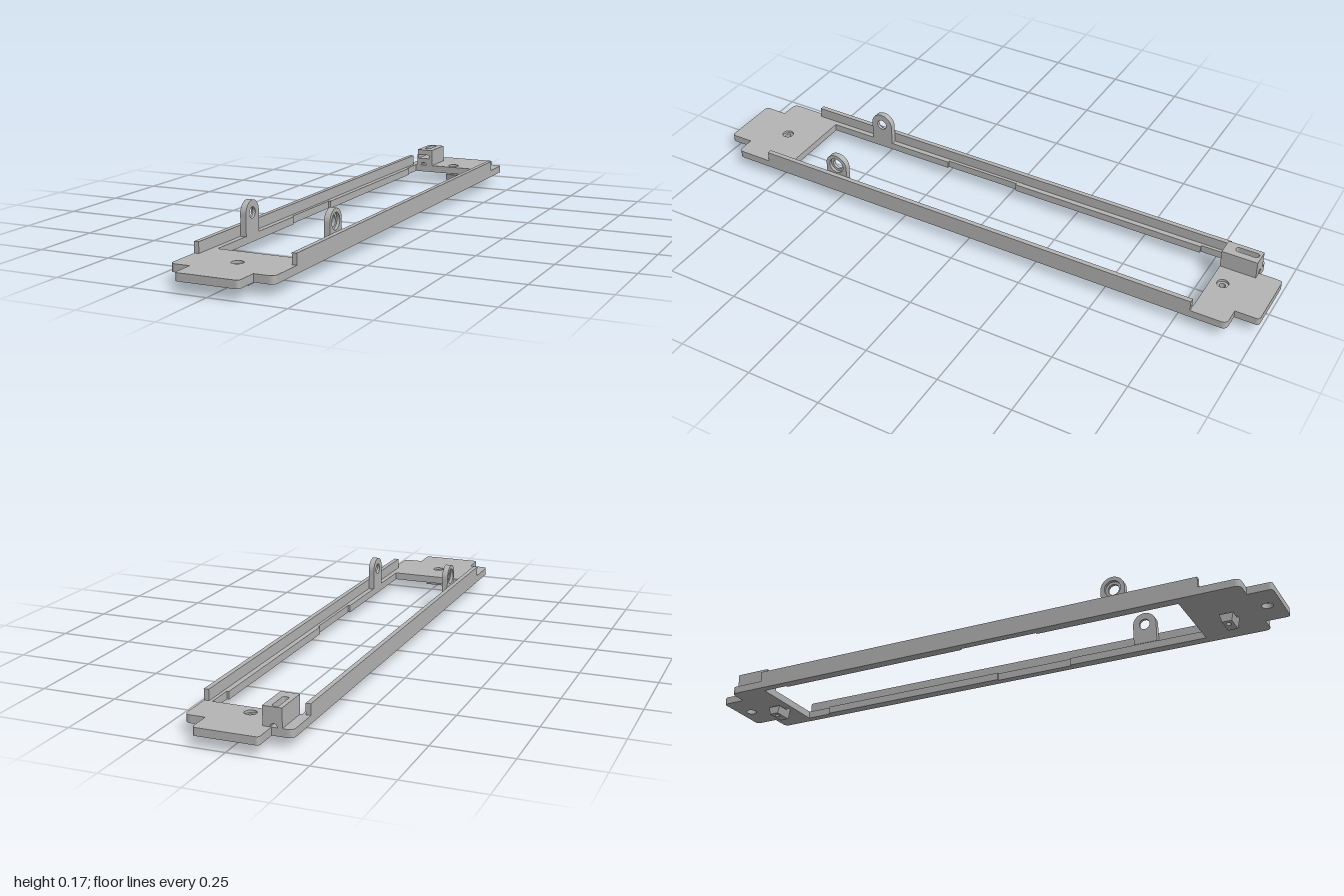
import * as THREE from 'three';

const grey = new THREE.MeshStandardMaterial({ color: 0xb4b4b4 });
grey.name = 'plain grey';

// Polygon from [x, y] corners; an optional third value rounds the corner
function outline(pts, Type = THREE.Shape) {
  const s = new Type();
  const n = pts.length;
  pts.forEach((p, i) => {
    const r = p[2] || 0;
    const v = new THREE.Vector2(p[0], p[1]);
    const toward = (q) => new THREE.Vector2(q[0], q[1]).sub(v).setLength(r).add(v);
    const a = r ? toward(pts[(i + n - 1) % n]) : v;
    const b = r ? toward(pts[(i + 1) % n]) : v;
    if (i === 0) s.moveTo(a.x, a.y); else s.lineTo(a.x, a.y);
    if (r) s.quadraticCurveTo(v.x, v.y, b.x, b.y);
  });
  s.closePath();
  return s;
}

const rect = (x0, y0, x1, y1, Type) => outline([[x0, y0], [x1, y0], [x1, y1], [x0, y1]], Type);
const circle = (x, y, r) => new THREE.Path().absarc(x, y, r, 0, Math.PI * 2, true);
const extrude = (shape, depth) =>
  new THREE.ExtrudeGeometry(shape, { depth, bevelEnabled: false, curveSegments: 16 });

// Horizontal slab: shape drawn in (x, -z), raised from y0 to y1
const slab = (shape, y0, y1) => extrude(shape, y1 - y0).rotateX(-Math.PI / 2).translate(0, y0, 0);
// Upright plate: shape drawn in (-z, y), spanning x0 to x1
const sidePlate = (shape, x0, x1) => extrude(shape, x1 - x0).rotateY(Math.PI / 2).translate(x0, 0, 0);

export function createModel() {
  const model = new THREE.Group();
  model.name = 'mountingFrame';
  const add = (name, geometry, parent = model) => {
    const mesh = new THREE.Mesh(geometry, grey);
    mesh.name = name;
    parent.add(mesh);
    return mesh;
  };
  const box = (name, x0, x1, y0, y1, z0, z1, parent) =>
    add(name, new THREE.BoxGeometry(x1 - x0, y1 - y0, z1 - z0)
      .translate((x0 + x1) / 2, (y0 + y1) / 2, (z0 + z1) / 2), parent);

  // Base frame with stepped window, in two layers for the counterbored and blind holes
  const frameShape = () => {
    const s = outline([
      [-0.102, -1, 0.012], [0.102, -1, 0.012], [0.102, -0.92], [0.168, -0.92, 0.02],
      [0.168, 0.92, 0.02], [0.102, 0.92], [0.102, 1, 0.012], [-0.102, 1, 0.012],
      [-0.102, 0.92], [-0.168, 0.92, 0.02], [-0.168, -0.92, 0.02], [-0.102, -0.92]]);
    const edge = [[0.134, -0.715], [0.134, -0.24], [0.141, -0.24], [0.141, 0.03],
      [0.134, 0.03], [0.134, 0.71], [0.141, 0.71], [0.141, 0.80]];
    const mirrored = edge.map(([x, y]) => [-x, y]).reverse();
    s.holes.push(outline([...edge, ...mirrored], THREE.Path));
    return s;
  };
  const lower = frameShape();
  const upper = frameShape();
  for (const v of [0.84, -0.83]) {
    lower.holes.push(circle(0, v, 0.01));
    upper.holes.push(circle(0, v, 0.019));
    lower.holes.push(circle(0, Math.sign(v) * 0.955, 0.018));
  }
  add('baseFrameLower', slab(lower, 0.035, 0.052));
  add('baseFrameUpper', slab(upper, 0.052, 0.06));

  // Side rails and pierced lugs
  const lugShape = (holeRadius) => {
    const s = new THREE.Shape();
    s.moveTo(-0.55, 0.06);
    s.lineTo(-0.47, 0.06);
    s.lineTo(-0.47, 0.128);
    s.absarc(-0.51, 0.128, 0.04, 0, Math.PI, false);
    s.closePath();
    s.holes.push(circle(-0.51, 0.128, holeRadius));
    return s;
  };
  for (const [side, k] of [['left', 1], ['right', -1]]) {
    box(side + 'Rail', k > 0 ? 0.152 : -0.168, k > 0 ? 0.168 : -0.152, 0.06, 0.095, -0.80, 0.79);
    const lug = new THREE.Group();
    lug.name = side + 'Lug';
    const layer = (name, r, a, b) =>
      add(name, sidePlate(lugShape(r), Math.min(k * a, k * b), Math.max(k * a, k * b)), lug);
    layer('lugInnerLayer', 0.018, 0.132, 0.142);
    layer('lugCounterbore', 0.027, 0.142, 0.152);
    model.add(lug);
  }

  // Hooks beneath each end: a post and a tapered arm with a vertical hole
  for (const [end, z] of [['front', 0.83], ['rear', -0.84]]) {
    const hook = new THREE.Group();
    hook.name = end + 'Hook';
    const arm = rect(-0.023, -0.022, 0.043, 0.022);
    arm.holes.push(circle(0, 0, 0.01));
    const armGeometry = slab(arm, 0, 0.027);
    const p = armGeometry.attributes.position;
    for (let i = 0; i < p.count; i++) if (p.getY(i) < 0.01) p.setZ(i, p.getZ(i) * 0.72);
    armGeometry.computeVertexNormals();
    add('hookArm', armGeometry, hook);
    box('hookPost', 0.024, 0.043, 0.027, 0.035, -0.022, 0.022, hook);
    hook.position.z = z;
    model.add(hook);
  }

  // Block on the rear corner: tunnel below, pocket in front, slot on top
  const block = new THREE.Group();
  block.name = 'cornerBlock';
  const blockProfile = (pocket) => {
    const s = new THREE.Shape();
    s.moveTo(-0.135, 0.06);
    s.lineTo(-0.12, 0.06);
    s.absarc(-0.109, 0.06, 0.011, Math.PI, 0, true);
    s.lineTo(-0.075, 0.06);
    s.lineTo(-0.075, 0.1);
    if (pocket) for (const [x, y] of [[-0.087, 0.1], [-0.087, 0.086], [-0.131, 0.086], [-0.131, 0.1]]) s.lineTo(x, y);
    s.lineTo(-0.135, 0.1);
    s.closePath();
    return s;
  };
  add('blockFront', extrude(blockProfile(true), 0.095).translate(0, 0, -0.895), block);
  add('blockBack', extrude(blockProfile(false), 0.025).translate(0, 0, -0.92), block);
  const top = rect(-0.135, 0.80, -0.075, 0.92);
  top.holes.push(outline([[-0.12, 0.835, 0.009], [-0.099, 0.835, 0.009],
    [-0.099, 0.912, 0.009], [-0.12, 0.912, 0.009]], THREE.Path));
  add('blockTop', slab(top, 0.1, 0.12), block);
  model.add(block);

  return model;
}
